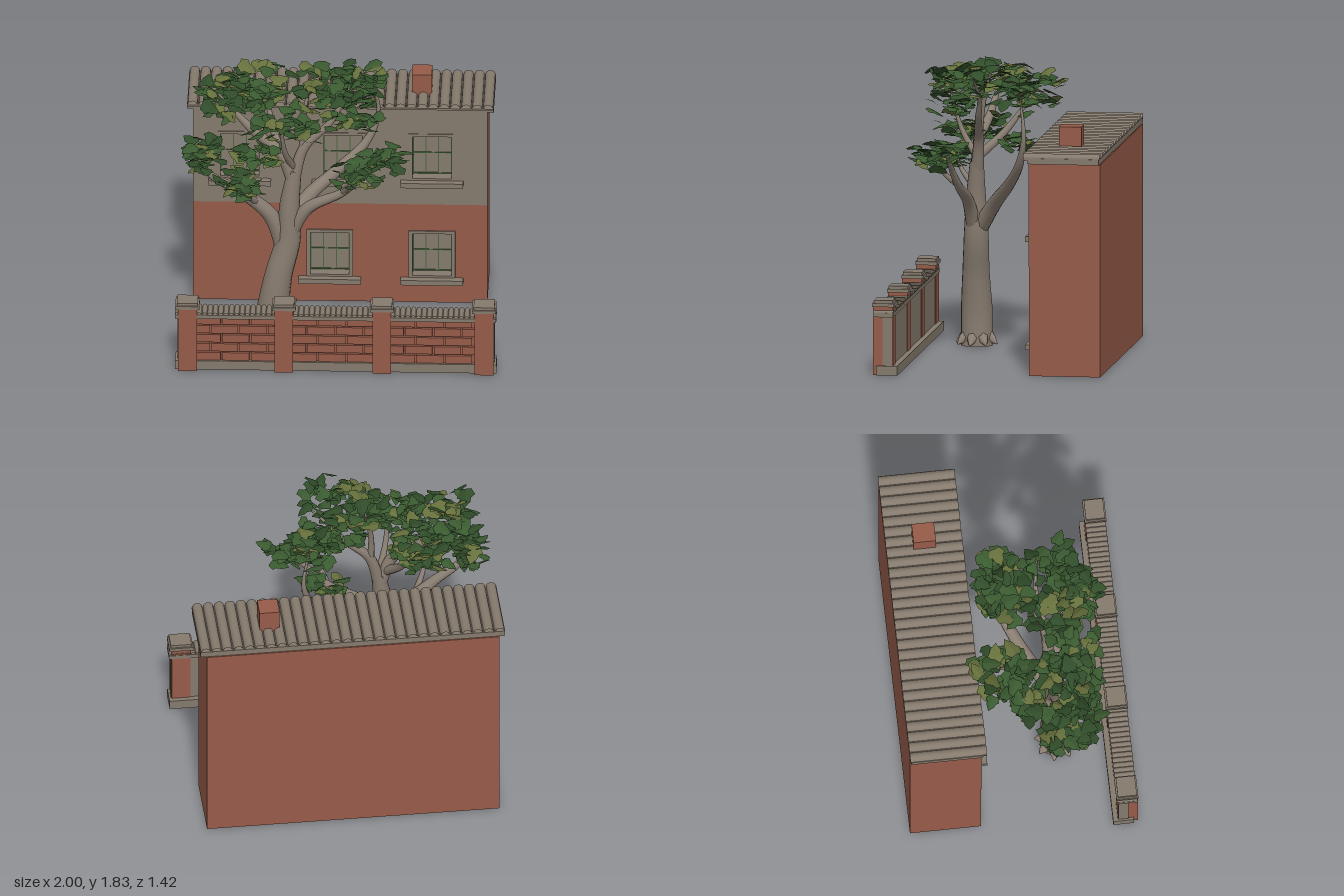
import * as THREE from 'three';
import { mergeGeometries } from 'three/addons/utils/BufferGeometryUtils.js';

const mat = (name, color, extra = {}) => {
  const m = new THREE.MeshStandardMaterial({ color, ...extra });
  m.name = name;
  return m;
};

let seed = 7;
const rand = () => ((seed = (seed * 16807) % 2147483647) / 2147483647);
const spread = () => rand() * 2 - 1;

export function createModel() {
  const brick = mat('brick red', 0x965b49);
  const stone = mat('stone grey', 0x857a6d);
  const paint = mat('window green', 0x45683c);
  const bark = mat('bark', 0x8a7e72);
  const greens = [
    mat('leaf green', 0x3a5a30, { side: THREE.DoubleSide }),
    mat('dark leaf green', 0x304c29, { side: THREE.DoubleSide }),
    mat('olive leaf', 0x66703c, { side: THREE.DoubleSide }),
  ];

  const model = new THREE.Group();
  model.name = 'houseWithTreeAndFence';
  const group = (name) => {
    const g = new THREE.Group();
    g.name = name;
    model.add(g);
    return g;
  };
  const add = (parent, name, geo, material) => {
    const m = new THREE.Mesh(geo, material);
    m.name = name;
    parent.add(m);
    return m;
  };
  // Box given by its minimum and maximum on each axis
  const box = (parent, name, material, x0, x1, y0, y1, z0, z1) =>
    add(parent, name, new THREE.BoxGeometry(x1 - x0, y1 - y0, z1 - z0), material)
      .position.set((x0 + x1) / 2, (y0 + y1) / 2, (z0 + z1) / 2);
  const rect = (x0, x1, y0, y1, Kind = THREE.Shape) => new Kind([
    [x0, y0], [x1, y0], [x1, y1], [x0, y1]].map(([x, y]) => new THREE.Vector2(x, y)));
  const extrude = (shape, z0, z1) =>
    new THREE.ExtrudeGeometry(shape, { depth: z1 - z0, bevelEnabled: false }).translate(0, 0, z0);
  // Row of open half-round roof tiles running front to back
  const tiles = (x0, x1, count, y, height, z0, z1) => {
    const pitch = (x1 - x0) / count, parts = [];
    for (let i = 0; i < count; i++) parts.push(
      new THREE.CylinderGeometry(1, 1, z1 - z0, 8, 1, true, -Math.PI / 2, Math.PI)
        .rotateX(-Math.PI / 2)
        .scale(pitch * 0.46, height, 1)
        .translate(x0 + (i + 0.5) * pitch, y, (z0 + z1) / 2));
    // keep the arch upright whichever way the half cylinder was turned
    const geo = mergeGeometries(parts);
    geo.computeBoundingBox();
    return geo.boundingBox.min.y < y - height / 2
      ? geo.translate(0, -y, 0).rotateZ(Math.PI).translate(x0 + x1, y, 0) : geo;
  };

  // House body, with openings cut through the front wall
  const house = group('house');
  const windows = [
    [-0.627, 0.87], [0.017, 0.87], [0.57, 0.87], [-0.067, 0.19], [0.57, 0.19]];
  const W = 0.125, H = 0.3;
  const wallWithHoles = (y0, y1) => {
    const s = rect(-0.92, 0.915, y0, y1);
    for (const [x, y] of windows) if (y > y0 && y < y1)
      s.holes.push(rect(x - W, x + W, y, y + H, THREE.Path));
    return s;
  };
  box(house, 'houseBody', brick, -0.92, 0.915, 0.004, 1.34, -0.71, -0.34);
  box(house, 'floor', stone, -0.89, 0.885, 0, 0.01, -0.69, -0.34);
  add(house, 'frontWall', extrude(wallWithHoles(0.004, 1.34), -0.34, -0.264), brick);
  add(house, 'upperRender', extrude(wallWithHoles(0.69, 1.34), -0.264, -0.26), stone);
  box(house, 'roofSlab', stone, -0.955, 0.955, 1.342, 1.378, -0.705, -0.255);
  add(house, 'roofTiles', tiles(-0.955, 0.955, 28, 1.377, 0.029, -0.71, -0.23), stone);
  box(house, 'roofEave', stone, -0.955, 0.955, 1.366, 1.378, -0.255, -0.232);
  box(house, 'chimney', brick, 0.44, 0.565, 1.37, 1.525, -0.54, -0.4);

  // Windows: surround, pane, glazing bars and sill
  for (const [x, y] of windows) {
    const win = new THREE.Group();
    win.name = 'window';
    house.add(win);
    const frame = rect(x - W - 0.02, x + W + 0.02, y - 0.01, y + H + 0.015);
    frame.holes.push(rect(x - W + 0.004, x + W - 0.004, y + 0.004, y + H - 0.004, THREE.Path));
    add(win, 'surround', extrude(frame, -0.339, -0.255), stone);
    box(win, 'pane', stone, x - W, x + W, y, y + H, -0.339, -0.332);
    for (const dx of [-0.118, -0.04, 0.04, 0.118])
      box(win, 'uprightBar', paint, x + dx - 0.003, x + dx + 0.003, y, y + H, -0.332, -0.325);
    for (const dy of [0.007, 0.15, 0.293])
      box(win, 'crossBar', paint, x - W, x + W, y + dy - 0.003, y + dy + 0.003, -0.332, -0.326);
    box(win, 'sill', stone, x - 0.195, x + 0.195, y - 0.045, y - 0.012, -0.31, -0.215);
  }

  // Front fence: plinth, backing, coping and pillars
  const fence = group('fence');
  box(fence, 'plinth', stone, -1, 1, 0, 0.06, 0.555, 0.685);
  box(fence, 'backing', stone, -0.988, 0.988, 0.06, 0.37, 0.59, 0.65);
  box(fence, 'coping', stone, -1, 1, 0.366, 0.392, 0.582, 0.708);
  add(fence, 'copingTiles', tiles(-1, 1, 60, 0.391, 0.016, 0.58, 0.708), stone);
  const pillars = [[-0.983, -0.865], [-0.38, -0.265], [0.23, 0.345], [0.865, 0.983]];
  for (const [a, b] of pillars) {
    box(fence, 'pillar', brick, a, b, 0, 0.435, 0.585, 0.71);
    box(fence, 'pillarCap', stone, a - 0.016, b + 0.016, 0.43, 0.452, 0.575, 0.712);
    box(fence, 'pillarCapTop', stone, a - 0.006, b + 0.006, 0.452, 0.47, 0.585, 0.704);
  }

  // Brick panels in running bond between the pillars
  for (let p = 0; p < 3; p++) {
    const x0 = pillars[p][1], x1 = pillars[p + 1][0];
    box(fence, 'panel', brick, x0, x1, 0.06, 0.366, 0.65, 0.66);
    const parts = [];
    for (let row = 0; row < 5; row++) {
      const y0 = 0.064 + row * 0.0625, y1 = Math.min(y0 + 0.053, 0.365);
      for (let x = x0 - (row % 2 ? 0.09 : 0.02); x < x1; x += 0.178) {
        const a = Math.max(x, x0), b = Math.min(x + 0.168, x1);
        if (b - a > 0.01) parts.push(new THREE.BoxGeometry(b - a, y1 - y0, 0.02)
          .translate((a + b) / 2, (y0 + y1) / 2, 0.67));
      }
    }
    add(fence, 'bricks', mergeGeometries(parts), brick);
  }

  // Tree limbs: tubes whose rings follow a list of radii
  const tree = group('tree');
  const limb = (name, points, radii, sides = 10) => {
    const path = new THREE.CatmullRomCurve3(points.map((p) => new THREE.Vector3(...p)));
    const n = points.length * 5;
    const geo = new THREE.TubeGeometry(path, n, 1, sides, false);
    const pos = geo.attributes.position, v = new THREE.Vector3();
    for (let i = 0; i < pos.count; i++) {
      const t = Math.floor(i / (sides + 1)) / n;
      const f = t * (radii.length - 1), k = Math.min(Math.floor(f), radii.length - 2);
      const c = path.getPointAt(t);
      v.fromBufferAttribute(pos, i).sub(c)
        .multiplyScalar(THREE.MathUtils.lerp(radii[k], radii[k + 1], f - k)).add(c);
      pos.setXYZ(i, v.x, Math.max(v.y, 0), v.z);
    }
    add(tree, name, geo, bark);
  };
  limb('trunk', [[-0.41, 0, 0.26], [-0.405, 0.2, 0.26], [-0.37, 0.45, 0.26], [-0.31, 0.7, 0.25],
    [-0.3, 0.95, 0.25], [-0.27, 1.18, 0.24]], [0.1, 0.099, 0.085, 0.078, 0.063, 0.043], 16);
  add(tree, 'trunkBase', new THREE.CircleGeometry(0.1, 16).rotateX(Math.PI / 2), bark)
    .position.set(-0.41, 0.003, 0.26);
  for (let i = 0; i < 8; i++) {
    const c = Math.cos(i * 0.785 + 0.2), s = Math.sin(i * 0.785 + 0.2);
    limb('root', [[-0.41 + 0.06 * c, 0.07, 0.26 + 0.06 * s], [-0.41 + 0.1 * c, 0.04, 0.26 + 0.1 * s],
      [-0.41 + 0.135 * c, 0.012, 0.26 + 0.135 * s]], [0.045, 0.03, 0.004], 7);
  }
  limb('leftLimb', [[-0.33, 0.62, 0.25], [-0.42, 0.87, 0.26], [-0.63, 1.06, 0.29], [-0.79, 1.17, 0.31],
    [-0.88, 1.32, 0.34]], [0.055, 0.05, 0.038, 0.026, 0.008]);
  limb('backRightLimb', [[-0.31, 0.75, 0.23], [-0.2, 0.92, 0.12], [0, 1.07, 0], [0.17, 1.22, -0.09],
    [0.24, 1.4, -0.13], [0.2, 1.66, -0.1]], [0.055, 0.045, 0.037, 0.028, 0.014, 0.004]);
  limb('frontRightLimb', [[-0.31, 0.72, 0.26], [-0.19, 0.93, 0.28], [0.03, 1.06, 0.31], [0.17, 1.2, 0.34],
    [0.34, 1.34, 0.35]], [0.05, 0.04, 0.028, 0.018, 0.006]);
  limb('upperLeftLimb', [[-0.28, 1.1, 0.24], [-0.36, 1.3, 0.24], [-0.52, 1.42, 0.2], [-0.75, 1.66, 0.15]],
    [0.042, 0.034, 0.024, 0.006]);
  limb('upperRightLimb', [[-0.28, 1.1, 0.24], [-0.21, 1.33, 0.22], [-0.06, 1.48, 0.2], [0.02, 1.6, 0.18],
    [0.17, 1.76, 0.2]], [0.043, 0.033, 0.023, 0.014, 0.005]);
  limb('middleLimb', [[-0.22, 1.3, 0.22], [-0.22, 1.5, 0.2], [-0.17, 1.76, 0.14]], [0.024, 0.016, 0.005]);
  limb('backLimb', [[-0.32, 1.2, 0.24], [-0.4, 1.35, 0.08], [-0.47, 1.6, -0.1]], [0.032, 0.022, 0.006]);
  limb('frontTwig', [[-0.5, 0.96, 0.27], [-0.57, 1.08, 0.38], [-0.6, 1.2, 0.43]], [0.025, 0.016, 0.005], 7);
  limb('forwardTwig', [[-0.28, 1.2, 0.24], [-0.33, 1.36, 0.34], [-0.35, 1.6, 0.42]], [0.025, 0.016, 0.005], 7);
  limb('rightTwig', [[0.03, 1.06, 0.31], [0.08, 1.15, 0.4], [0.14, 1.26, 0.48]], [0.02, 0.014, 0.005], 7);

  // One broad pointed leaf, folded along its midrib
  const half = [[0.03, 0.004], [0.054, 0.04], [0.034, 0.058], [0.03, 0.082]];
  const outline = [[0, 0.008], ...half, [0, 0.12], ...half.map(([x, y]) => [-x, y]).reverse()];
  const leaf = new THREE.BufferGeometry();
  const corner = ([x, y]) => [x, -Math.abs(x) * 0.2 - y * y, y - 0.05];
  leaf.setAttribute('position', new THREE.Float32BufferAttribute(outline.flatMap((p, i) =>
    [...corner([0, 0.05]), ...corner(p), ...corner(outline[(i + 1) % outline.length])]), 3));
  leaf.computeVertexNormals();

  // Leaf clusters: centre, radii, number of leaves
  const clusters = [
    [[-0.84, 1.31, 0.33], [0.12, 0.06, 0.18], 40], [[-0.6, 1.18, 0.44], [0.13, 0.07, 0.12], 30],
    [[-0.66, 1.66, 0.18], [0.22, 0.07, 0.28], 62], [[-0.5, 1.62, -0.1], [0.18, 0.1, 0.17], 40],
    [[-0.04, 1.73, 0.2], [0.26, 0.08, 0.31], 84], [[0.12, 1.36, -0.07], [0.14, 0.05, 0.11], 22],
    [[0.12, 1.66, -0.06], [0.15, 0.12, 0.13], 30], [[0.3, 1.33, 0.35], [0.13, 0.05, 0.12], 28],
    [[0.12, 1.26, 0.47], [0.15, 0.06, 0.11], 28], [[-0.3, 1.56, 0.36], [0.28, 0.08, 0.18], 44],
    [[-0.5, 1.35, 0.34], [0.14, 0.06, 0.18], 26]];
  const bins = greens.map(() => []);
  const dummy = new THREE.Object3D();
  for (const [c, r, count] of clusters) for (let i = 0; i < count; i++) {
    const a = rand() * Math.PI * 2, d = Math.sqrt(rand());
    dummy.position.set(c[0] + r[0] * d * Math.cos(a), c[1] + r[1] * spread(), c[2] + r[2] * d * Math.sin(a));
    dummy.rotation.set(spread() * 0.5, rand() * Math.PI * 2, spread() * 0.5, 'YXZ');
    dummy.scale.setScalar(0.75 + rand() * 0.4);
    dummy.updateMatrix();
    const pick = rand();
    bins[pick < 0.5 ? 0 : pick < 0.82 ? 1 : 2].push(leaf.clone().applyMatrix4(dummy.matrix));
  }
  bins.forEach((parts, i) => add(tree, 'leaves', mergeGeometries(parts), greens[i]));

  return model;
}
